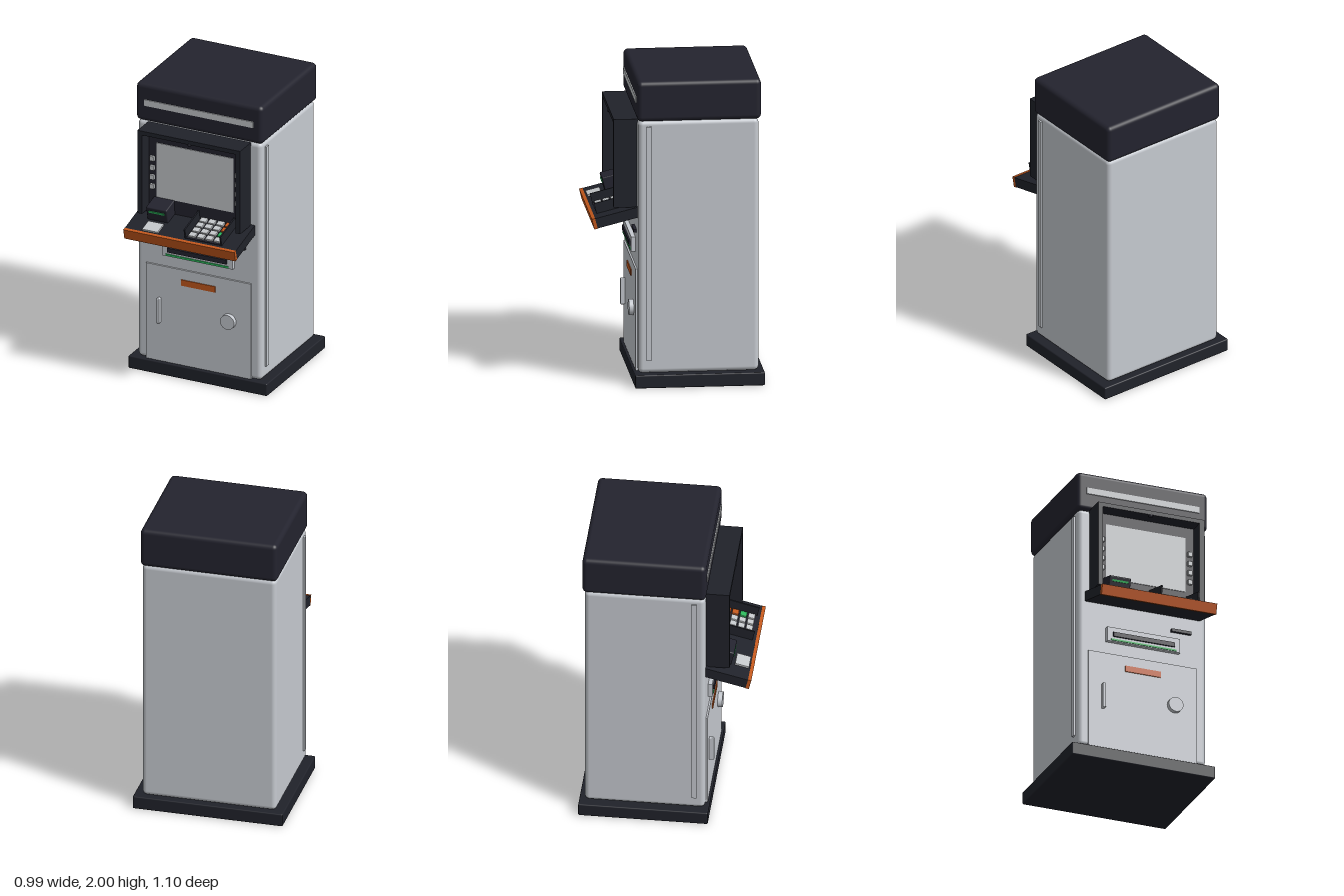
import * as THREE from 'three';
import { RoundedBoxGeometry } from 'three/addons/geometries/RoundedBoxGeometry.js';

const mat = (name, color) => {
  const m = new THREE.MeshStandardMaterial({ color });
  m.name = name;
  return m;
};

export function createModel() {
  const dark = mat('dark plastic', 0x23232e);
  const charcoal = mat('charcoal', 0x20222a);
  const light = mat('light grey metal', 0xc6cad0);
  const pale = mat('pale grey', 0xc6c9cc);
  const orange = mat('orange', 0xc4581c);
  const green = mat('green', 0x2cb85c);

  const model = new THREE.Group();
  model.name = 'cashMachine';

  // Box given by its extents; a radius rounds the edges
  const box = (name, m, [x0, x1], [y0, y1], [z0, z1], radius = 0, parent = model) => {
    const s = [x1 - x0, y1 - y0, z1 - z0];
    const geo = radius ? new RoundedBoxGeometry(...s, 4, radius) : new THREE.BoxGeometry(...s);
    const mesh = new THREE.Mesh(geo, m);
    mesh.name = name;
    mesh.position.set((x0 + x1) / 2, (y0 + y1) / 2, (z0 + z1) / 2);
    parent.add(mesh);
    return mesh;
  };

  // Cabinet
  box('base', charcoal, [-0.493, 0.493], [0, 0.086], [-0.55, 0.28], 0.008);
  box('body', light, [-0.44, 0.44], [0.086, 1.742], [-0.515, 0.255], 0.03);
  box('head', dark, [-0.45, 0.45], [1.738, 2], [-0.53, 0.262], 0.03);
  box('headStrip', pale, [-0.387, 0.387], [1.85, 1.892], [0.25, 0.269]);
  for (const s of [-1, 1]) {
    const x = s * 0.444;
    box('sideTrim', light, [x - 0.008, x + 0.008], [0.17, 1.705], [0.172, 0.203]);
  }

  // Hood round the screen
  for (const s of [-1, 1]) {
    const x = s * 0.349;
    box('hoodSide', charcoal, [x - 0.016, x + 0.016], [1.16, 1.738], [0.25, 0.405]);
  }
  box('hoodTop', charcoal, [-0.365, 0.365], [1.71, 1.738], [0.25, 0.405]);
  box('screenBezel', dark, [-0.333, 0.333], [1.13, 1.71], [0.25, 0.305]);
  box('screenSurround', dark, [-0.325, 0.325], [1.18, 1.685], [0.305, 0.312]);
  box('screen', pale, [-0.275, 0.272], [1.255, 1.633], [0.31, 0.317]);
  for (const x of [-0.303, 0.3]) {
    for (let i = 0; i < 4; i++) {
      const y = 1.325 + i * 0.065;
      box('screenButton', pale, [x - 0.015, x + 0.015], [y - 0.017, y + 0.017], [0.31, 0.33], 0.004);
    }
  }
  const camera = new THREE.Mesh(new THREE.SphereGeometry(0.014, 16, 12), dark);
  camera.name = 'cameraDome';
  camera.position.set(0, 1.706, 0.395);
  model.add(camera);

  // Sloping shelf: local y = 0 is its top, local z runs to the front edge
  const shelf = new THREE.Group();
  shelf.name = 'shelf';
  shelf.position.set(0, 1.166, 0.257);
  shelf.rotation.x = 0.245;
  model.add(shelf);
  box('shelfPlate', charcoal, [-0.395, 0.395], [-0.066, 0], [-0.01, 0.278], 0, shelf);
  box('shelfFront', orange, [-0.395, 0.395], [-0.068, 0.002], [0.278, 0.3], 0, shelf);

  // Card reader
  box('cardReader', dark, [-0.295, -0.147], [0, 0.1], [0.03, 0.152], 0.008, shelf);
  box('cardSlotLight', green, [-0.275, -0.165], [0.062, 0.075], [0.15, 0.157], 0, shelf);
  box('cardPlate', pale, [-0.275, -0.165], [0, 0.012], [0.177, 0.268], 0, shelf);

  // Keypad with guards
  for (const x of [0.026, 0.28]) {
    box('keypadGuard', charcoal, [x - 0.005, x + 0.005], [0, 0.068], [0.045, 0.257], 0, shelf);
  }
  box('keypadPlate', dark, [0.03, 0.276], [0, 0.005], [0.04, 0.257], 0, shelf);
  for (let row = 0; row < 4; row++) {
    for (let col = 0; col < 4; col++) {
      const x = 0.064 + col * 0.06;
      const z = 0.222 - row * 0.053;
      const m = col < 3 || row === 0 ? pale : row === 1 ? green : orange;
      box('key', m, [x - 0.024, x + 0.024], [0, 0.018], [z - 0.022, z + 0.022], 0.003, shelf);
    }
  }

  // Receipt slot and cash dispenser
  box('receiptSlot', dark, [0.195, 0.332], [0.985, 1.005], [0.25, 0.275]);
  box('dispenser', light, [-0.252, 0.25], [0.838, 0.935], [0.25, 0.282]);
  box('cashSlot', dark, [-0.212, 0.21], [0.87, 0.9], [0.27, 0.293]);
  box('dispenserLight', green, [-0.225, 0.222], [0.843, 0.855], [0.28, 0.287]);

  // Safe door
  box('safeDoor', light, [-0.375, 0.372], [0.09, 0.755], [0.25, 0.266]);
  box('doorPlate', orange, [-0.122, 0.12], [0.647, 0.688], [0.265, 0.272]);
  box('doorHandle', light, [-0.287, -0.266], [0.36, 0.533], [0.262, 0.297], 0.006);
  const knob = new THREE.Mesh(new THREE.CylinderGeometry(0.05, 0.05, 0.035, 32), light);
  knob.name = 'doorKnob';
  knob.rotation.x = Math.PI / 2;
  knob.position.set(0.217, 0.467, 0.278);
  model.add(knob);

  return model;
}
